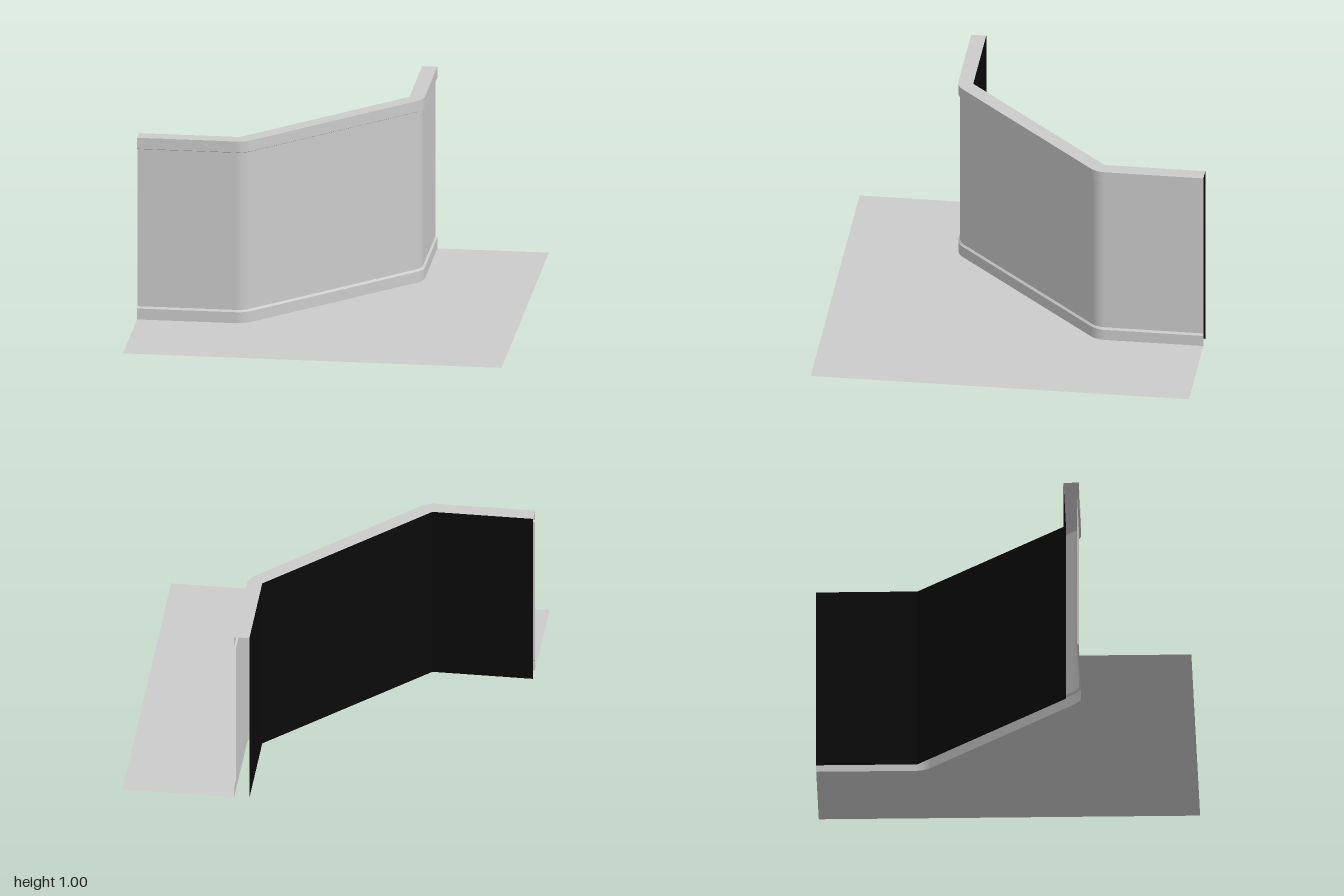
import * as THREE from 'three';

const C = 0.295;      // straight runs: distance of the corner-arc centres from the axes
const K = -0.48;      // where the corner arcs sit along the runs
const ARC_STEPS = 8;

const grey = new THREE.MeshStandardMaterial({ color: 0xcccccc, side: THREE.DoubleSide });
const black = new THREE.MeshStandardMaterial({ color: 0x0a0a0a, side: THREE.DoubleSide });

// Plan of the wall face: base point plus outward normal, offset by a radius
function planPoints() {
  const pts = [{ x: -1, z: C, a: 0 }];
  for (const [x, z, start] of [[K, C, 0], [C, K, Math.PI / 4]]) {
    for (let i = 0; i <= ARC_STEPS; i++) pts.push({ x, z, a: start + (i / ARC_STEPS) * Math.PI / 4 });
  }
  pts.push({ x: C, z: -1, a: Math.PI / 2 });
  return pts.map(({ x, z, a }) => ({ x, z, nx: Math.sin(a), nz: Math.cos(a) }));
}
const plan = planPoints();
const outline = (r) => plan.map((p) => new THREE.Vector2(p.x + p.nx * r, p.z + p.nz * r));

// Sweeps a profile of [radius, height] pairs along the plan, with sharp edges between bands
function sweep(name, profile) {
  const pos = [], nor = [], idx = [];
  for (let s = 0; s < profile.length - 1; s++) {
    const [r0, y0] = profile[s], [r1, y1] = profile[s + 1];
    const len = Math.hypot(r1 - r0, y1 - y0);
    const out = (y1 - y0) / len, up = (r0 - r1) / len;
    const base = pos.length / 3;
    plan.forEach((p, i) => {
      for (const [r, y] of [[r0, y0], [r1, y1]]) {
        pos.push(p.x + p.nx * r, y, p.z + p.nz * r);
        nor.push(p.nx * out, up, p.nz * out);
      }
      if (i < plan.length - 1) {
        const a = base + i * 2;
        idx.push(a, a + 2, a + 3, a, a + 3, a + 1);
      }
    });
  }
  const g = new THREE.BufferGeometry();
  g.setAttribute('position', new THREE.Float32BufferAttribute(pos, 3));
  g.setAttribute('normal', new THREE.Float32BufferAttribute(nor, 3));
  g.setIndex(idx);
  const mesh = new THREE.Mesh(g, grey);
  mesh.name = name;
  return mesh;
}

// Flat horizontal sheet from plan points (x, z)
function sheet(name, pts, y) {
  const g = new THREE.ShapeGeometry(new THREE.Shape(pts.map((p) => new THREE.Vector2(p.x, -p.y))));
  g.rotateX(-Math.PI / 2);
  g.translate(0, y, 0);
  const mesh = new THREE.Mesh(g, grey);
  mesh.name = name;
  return mesh;
}

export function createModel() {
  const group = new THREE.Group();
  group.name = 'angledWallCorner';
  const face = 0.105, trim = 0.115;

  // Floor in front of the wall
  group.add(sheet('floor', [...outline(trim), new THREE.Vector2(1, -1), new THREE.Vector2(1, 1), new THREE.Vector2(-1, 1)], 0));

  // Front of the wall with skirting and top rail
  group.add(sweep('skirting', [[trim, 0], [trim, 0.06], [face, 0.07]]));
  group.add(sweep('wallPanel', [[face, 0.07], [face, 0.935]]));
  group.add(sweep('topRail', [[face, 0.935], [trim, 0.94], [trim, 1]]));

  // Top of the wall, between the rounded front and the sharp-cornered back
  const back = [[-1, 0.33], [-0.467, 0.33], [0.33, -0.467], [0.33, -1]].map(([x, z]) => new THREE.Vector2(x, z));
  group.add(sheet('wallTop', [...outline(trim), ...back.slice().reverse()], 1));

  // Dark back panels; the ends and underside stay open
  for (let i = 0; i < 3; i++) {
    const a = back[i], b = back[i + 1];
    const panel = new THREE.Mesh(new THREE.PlaneGeometry(a.distanceTo(b), 1), black);
    panel.name = 'backPanel' + (i + 1);
    panel.position.set((a.x + b.x) / 2, 0.5, (a.y + b.y) / 2);
    panel.rotation.y = Math.PI + i * Math.PI / 4;
    group.add(panel);
  }
  return group;
}
